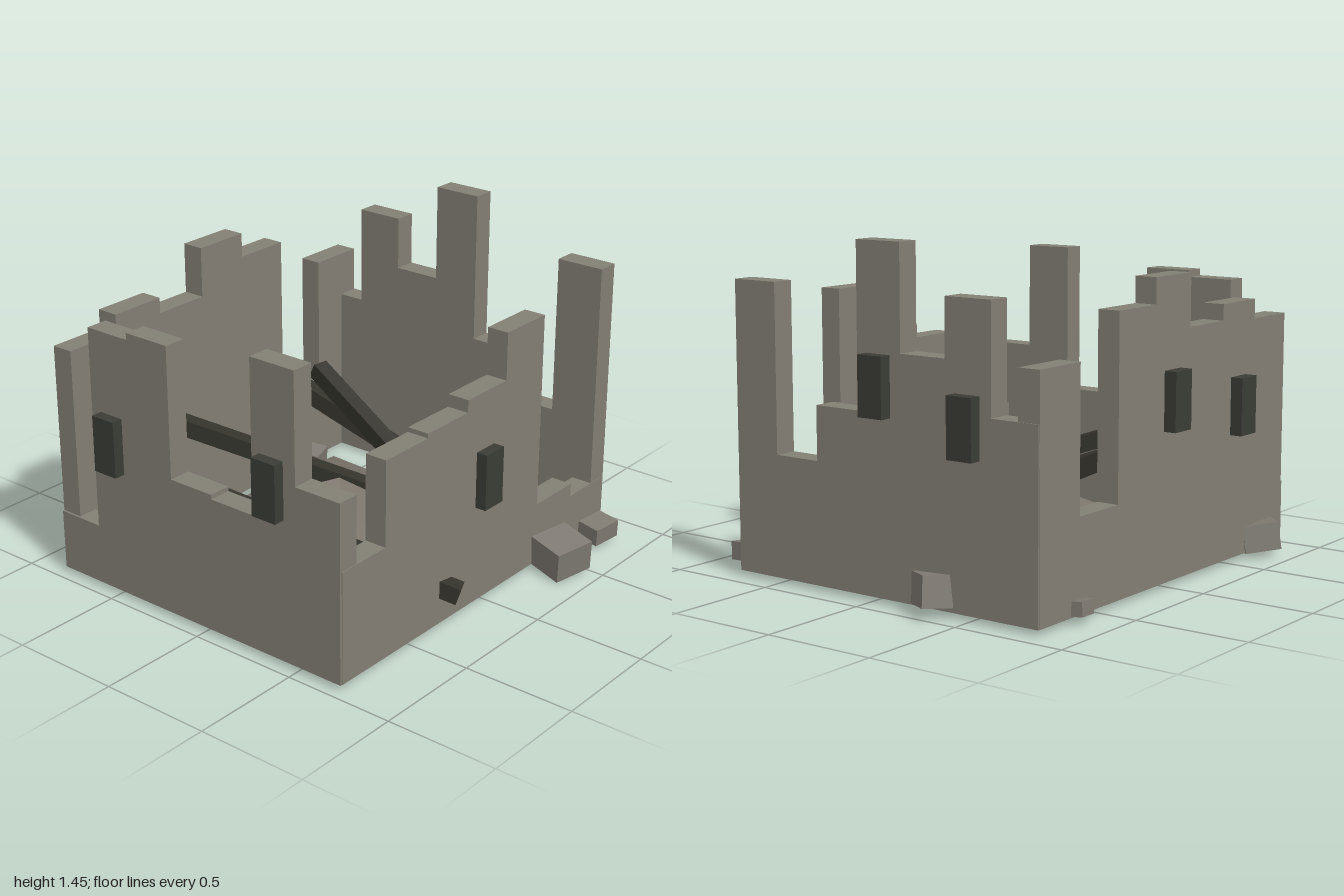
import * as THREE from 'three';

const mat = (name, color) => {
  const m = new THREE.MeshStandardMaterial({ color });
  m.name = name;
  return m;
};

export function createModel() {
  const model = new THREE.Group();
  model.name = 'ruinedBuilding';
  const stone = mat('wall stone', 0x837f75);
  const rubbleStone = mat('rubble stone', 0x807b73);
  const earth = mat('rubble mound', 0x7d766d);
  const windowDark = mat('window dark', 0x3a3c35);
  const charred = mat('charred wood', 0x33322b);

  const add = (name, geometry, material, pos = [0, 0, 0]) => {
    const mesh = new THREE.Mesh(geometry, material);
    mesh.name = name;
    mesh.position.set(...pos);
    model.add(mesh);
    return mesh;
  };

  // Broken wall: a stepped skyline extruded to the wall thickness
  const BASE = 0.04, THICK = 0.1;
  const skyline = (start, end, heights) => {
    const shape = new THREE.Shape();
    const step = (end - start) / heights.length;
    shape.moveTo(start, BASE);
    heights.forEach((h, i) => {
      shape.lineTo(start + i * step, h);
      shape.lineTo(start + (i + 1) * step, h);
    });
    shape.lineTo(end, BASE);
    return new THREE.ExtrudeGeometry(shape, { depth: THICK, bevelEnabled: false });
  };

  // Front and back walls, listed from -x to +x
  add('frontWall', skyline(-0.94, 0.905, [0.535, 0.91, 0.93, 0.985, 1.195, 0.32, 0.26]), stone, [0, 0, 0.625]);
  add('backWall', skyline(-0.94, 0.905, [1.07, 1.155, 1.085, 1.31, 1.2, 0.43, 1.03]), stone, [0, 0, -0.83]);

  // Side walls, listed from -z to +z
  const side = (name, heights, outer) =>
    add(name, skyline(-0.828, 0.722, heights).rotateY(-Math.PI / 2), stone, [outer, 0, 0]);
  side('leftWall', [0.825, 1.275, 1.035, 1.47, 0.79, 0.56, 1.275], 0.91);
  side('rightWall', [0.31, 1.21, 1.24, 0.66, 0.64, 1.31, 0.83], -0.85);

  // Window blocks standing proud of the walls: x, y, z, facing sideways
  const windows = [
    [-0.02, 0.605, 0.74, false],
    [-0.015, 0.8, -0.85, false],
    [-0.545, 0.71, -0.85, false],
    [0.93, 0.9, -0.05, true],
    [0.93, 0.78, -0.493, true],
    [-0.965, 0.725, -0.495, true],
    [-0.965, 0.795, 0.38, true],
  ];
  for (const [x, y, z, sideways] of windows) {
    const size = sideways ? [0.07, 0.25, 0.12] : [0.12, 0.25, 0.07];
    add('window', new THREE.BoxGeometry(...size), windowDark, [x, y, z]);
  }

  // Low four-sided mound of debris inside
  const mound = new THREE.ConeGeometry(0.915, 0.36, 4);
  mound.rotateY(THREE.MathUtils.degToRad(41.5));
  add('debrisMound', mound, earth, [-0.015, 0.215, -0.06]);

  // Fallen beams, from high end to low end
  const beams = [
    [[-0.78, 0.55, -0.3], [-0.25, 0.17, 0.78]],
    [[-0.41, 0.59, -0.67], [0.09, 0.29, 0.12]],
    [[0.305, 0.61, -0.76], [0.595, 0.1, 0.31]],
    [[0.42, 0.61, -0.55], [0.285, 0.05, 0.54]],
  ];
  for (const [high, low] of beams) {
    const a = new THREE.Vector3(...high), b = new THREE.Vector3(...low);
    const mid = a.clone().add(b).multiplyScalar(0.5);
    const beam = add('fallenBeam', new THREE.BoxGeometry(0.075, 0.075, a.distanceTo(b)), charred, mid.toArray());
    beam.lookAt(b);
  }

  // Rubble blocks: position, size, turn and tilt
  const rubble = [
    [0.42, 0.105, 0.83, 0.19, 0.14, 0.18, -0.25, 0.12],
    [0.75, 0.085, 0.81, 0.14, 0.08, 0.11, -0.15, 0.08],
    [-0.74, 0.1, -0.83, 0.18, 0.12, 0.16, 0.75, 0.12],
    [0.65, 0.075, -0.84, 0.09, 0.06, 0.07, 0.1, 0.1],
    [0.9, 0.12, -0.33, 0.16, 0.13, 0.15, -0.6, 0.1],
    [0.79, 0.11, -0.31, 0.12, 0.12, 0.15, -0.25, 0.1],
    [0.24, 0.13, -0.55, 0.18, 0.14, 0.17, 0.2, 0.25],
    [0.48, 0.1, -0.65, 0.12, 0.1, 0.12, 0.3, 0.1],
    [0.59, 0.1, -0.13, 0.12, 0.09, 0.09, 0.4, 0.15],
    [0.65, 0.1, 0.06, 0.11, 0.1, 0.17, -0.25, 0.1],
    [0.77, 0.1, 0.1, 0.13, 0.11, 0.2, 0, 0.1],
    [0.77, 0.09, 0.57, 0.14, 0.1, 0.11, -0.15, 0.1],
    [-0.53, 0.12, 0.53, 0.19, 0.13, 0.17, -0.4, 0.15],
    [-0.8, 0.09, -0.18, 0.12, 0.09, 0.12, -0.25, 0.15],
    [0.04, 0.1, 0.53, 0.1, 0.08, 0.07, 0.45, 0.2],
  ];
  for (const [x, y, z, w, h, d, turn, tilt] of rubble) {
    const block = add('rubbleBlock', new THREE.BoxGeometry(w, h, d), rubbleStone, [x, y, z]);
    block.rotation.set(tilt, turn, tilt * 0.6, 'YXZ');
  }

  return model;
}
